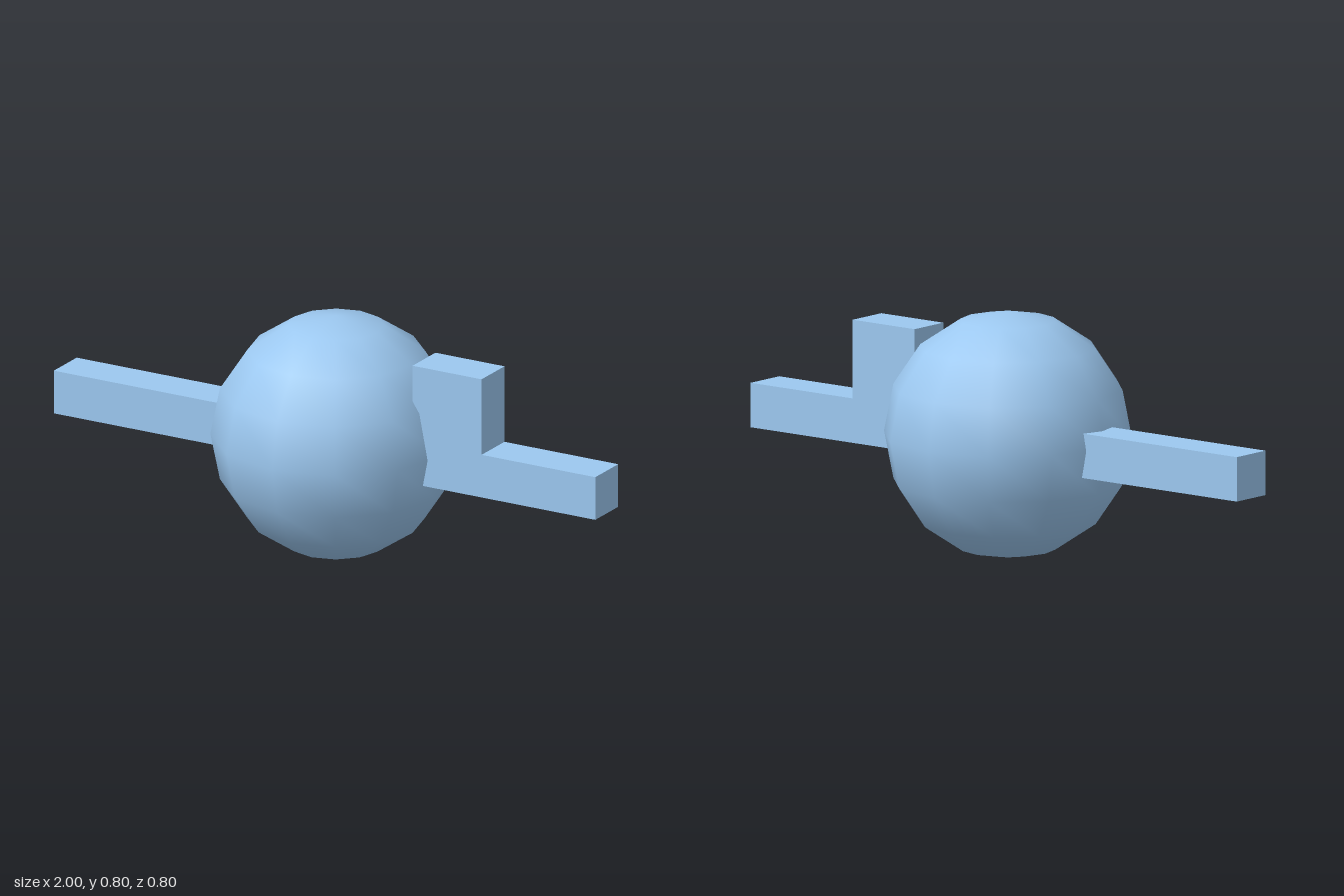
import * as THREE from 'three';

export function createModel() {
  const group = new THREE.Group();
  const material = new THREE.MeshStandardMaterial({ color: 0x9cc8f0 });
  const add = (name, geometry) => {
    const mesh = new THREE.Mesh(geometry, material);
    mesh.name = name;
    group.add(mesh);
    return mesh;
  };

  // Round body, coarse outline with smooth shading
  add('body', new THREE.SphereGeometry(0.4, 12, 8)).position.y = 0.4;

  // Square-section arms, each an outline in x and y extruded through z
  const depth = 0.144;
  const arm = (name, outline) => {
    const shape = new THREE.Shape(outline.map(([x, y]) => new THREE.Vector2(x, y)));
    const geometry = new THREE.ExtrudeGeometry(shape, { depth, bevelEnabled: false });
    add(name, geometry.translate(0, 0, -depth / 2));
  };
  const bottom = 0.312, top = 0.456;

  // Straight arm
  arm('rightArm', [[-1, bottom], [-0.325, bottom], [-0.325, top], [-1, top]]);

  // Arm with a raised block beside the body
  arm('leftArm', [
    [0.325, bottom], [1, bottom], [1, top],
    [0.58, top], [0.58, 0.711], [0.325, 0.711],
  ]);

  return group;
}
